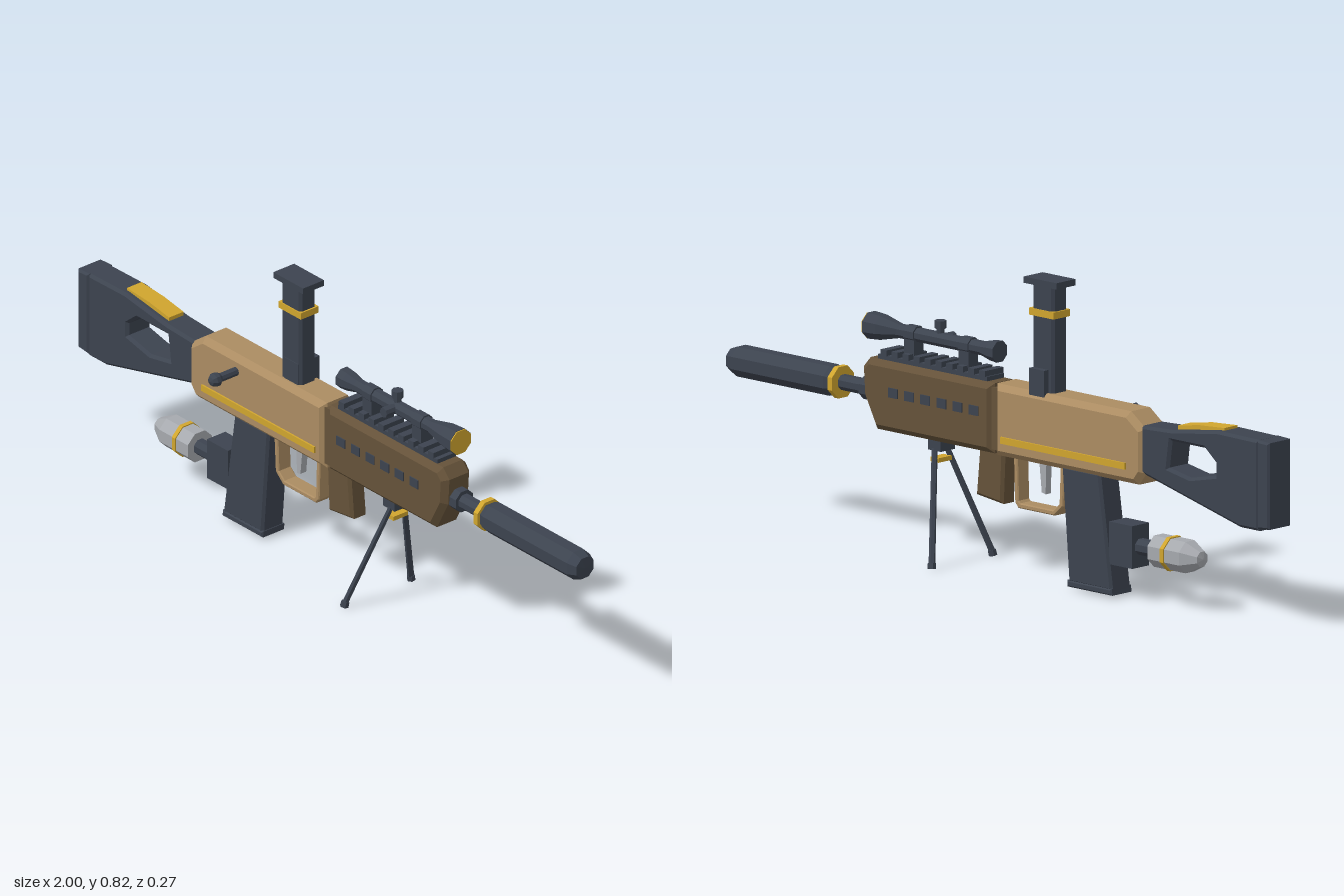
import * as THREE from 'three';

const mat = (name, color) => {
  const m = new THREE.MeshStandardMaterial({ color, flatShading: true });
  m.name = name;
  return m;
};

export function createModel() {
  const dark = mat('gunmetal', 0x3c434f);
  const tan = mat('tan', 0xab8c62);
  const brown = mat('brown', 0x655239);
  const gold = mat('gold', 0xd0a52e);
  const silver = mat('silver', 0xa6a9ae);

  const model = new THREE.Group();
  model.name = 'rifle';
  const body = new THREE.Group();
  body.name = 'body';
  body.position.z = -0.013; // the bolt handle offsets the centre line
  model.add(body);

  const add = (name, geo, m, x = 0, y = 0, z = 0) => {
    const mesh = new THREE.Mesh(geo, m);
    mesh.name = name;
    mesh.position.set(x, y, z);
    body.add(mesh);
    return mesh;
  };
  // Box given by its x, y and z ranges
  const box = (name, m, x0, x1, y0, y1, z0, z1) =>
    add(name, new THREE.BoxGeometry(x1 - x0, y1 - y0, z1 - z0), m, (x0 + x1) / 2, (y0 + y1) / 2, (z0 + z1) / 2);
  // Side profile extruded across z, with bevelled edges and optional hole
  const v = (pts) => pts.map(([x, y]) => new THREE.Vector2(x, y));
  const slab = (name, m, pts, half, bevel = 0, hole = null) => {
    const shape = new THREE.Shape(v(pts));
    if (hole) shape.holes.push(new THREE.Path(v(hole)));
    const depth = 2 * (half - bevel);
    const geo = new THREE.ExtrudeGeometry(shape, {
      depth, bevelEnabled: bevel > 0, bevelThickness: bevel, bevelSize: bevel, bevelOffset: -bevel, bevelSegments: 1,
    });
    geo.translate(0, 0, -depth / 2);
    return add(name, geo, m);
  };
  // Octagonal part turned around the x axis; profile is [x, radius]
  const turned = (name, m, pts, y, z = 0) => {
    const k = 1 / Math.cos(Math.PI / 8);
    const geo = new THREE.LatheGeometry(pts.map(([x, r]) => new THREE.Vector2(r * k, x)), 8, Math.PI / 8);
    geo.rotateZ(-Math.PI / 2);
    return add(name, geo, m, 0, y, z);
  };
  // Straight rod between two points
  const rod = (name, m, a, b, r0, r1 = r0, sides = 8) => {
    const p = new THREE.Vector3(...a), q = new THREE.Vector3(...b);
    const d = q.clone().sub(p);
    const mesh = add(name, new THREE.CylinderGeometry(r1, r0, d.length(), sides), m);
    mesh.position.copy(p).add(q).multiplyScalar(0.5);
    mesh.quaternion.setFromUnitVectors(new THREE.Vector3(0, 1, 0), d.normalize());
    return mesh;
  };

  // Stock with thumbhole, butt pad and cheek strip
  slab('stock', dark,
    [[-0.96, 0.265], [-0.89, 0.265], [-0.53, 0.355], [-0.53, 0.483], [-0.64, 0.488], [-0.81, 0.512], [-0.96, 0.51]],
    0.042, 0.008,
    [[-0.8, 0.39], [-0.8, 0.425], [-0.76, 0.458], [-0.64, 0.458], [-0.63, 0.385], [-0.71, 0.37]]);
  slab('buttPad', dark, [[-1, 0.275], [-0.955, 0.27], [-0.955, 0.51], [-1, 0.508]], 0.044, 0.006);
  slab('cheekStrip', gold, [[-0.82, 0.505], [-0.65, 0.485], [-0.65, 0.5], [-0.73, 0.513], [-0.82, 0.519]], 0.025);

  // Receiver
  slab('receiver', tan,
    [[-0.52, 0.322], [0, 0.322], [0, 0.515], [-0.49, 0.515], [-0.545, 0.475], [-0.545, 0.355]], 0.051, 0.016);
  // Handguard
  slab('handguard', brown,
    [[0.01, 0.324], [0.44, 0.324], [0.485, 0.41], [0.49, 0.485], [0.465, 0.513], [0.01, 0.513]], 0.049, 0.016);
  box('bodyJoint', brown, -0.01, 0.02, 0.335, 0.503, -0.04, 0.04);
  for (const s of [-1, 1]) {
    box('receiverStripe', gold, -0.485, -0.03, 0.36, 0.378, s * 0.053 - 0.003, s * 0.053 + 0.003);
    for (let i = 0; i < 6; i++) {
      const x = 0.055 + i * 0.059;
      box('vent', dark, x, x + 0.034, 0.42, 0.446, s * 0.049 - 0.003, s * 0.049 + 0.003);
    }
  }

  // Bolt handle
  rod('boltRod', dark, [-0.35, 0.472, 0.04], [-0.35, 0.472, 0.115], 0.012);
  const knob = add('boltKnob', new THREE.SphereGeometry(0.02, 8, 5), dark, -0.35, 0.472, 0.122);
  knob.rotation.x = Math.PI / 2;

  // Magazine in two sections with a base plate
  slab('magazine', dark, [[-0.42, 0.02], [-0.26, 0.02], [-0.235, 0.33], [-0.375, 0.33]], 0.038, 0.007);
  slab('magazineBase', dark, [[-0.422, 0.008], [-0.258, 0.008], [-0.257, 0.026], [-0.419, 0.026]], 0.04, 0.004);

  // Side block holding the banded canister
  box('canisterBlock', dark, -0.49, -0.405, 0.09, 0.205, -0.032, 0.032);
  turned('canisterNeck', dark, [[-0.56, 0], [-0.56, 0.021], [-0.485, 0.021]], 0.146);
  turned('canister', silver, [[-0.72, 0], [-0.715, 0.02], [-0.67, 0.042], [-0.555, 0.042], [-0.555, 0]], 0.146);
  turned('canisterBand', gold, [[-0.616, 0.03], [-0.616, 0.045], [-0.603, 0.045], [-0.603, 0.03]], 0.146);

  // Trigger, guard and forward grip
  slab('triggerGuard', tan,
    [[-0.232, 0.33], [-0.226, 0.215], [-0.195, 0.186], [-0.062, 0.186], [-0.05, 0.2], [-0.045, 0.33]], 0.022, 0.003,
    [[-0.216, 0.318], [-0.212, 0.22], [-0.19, 0.2], [-0.07, 0.2], [-0.064, 0.206], [-0.06, 0.318]]);
  slab('trigger', silver, [[-0.152, 0.235], [-0.138, 0.238], [-0.128, 0.33], [-0.155, 0.33]], 0.01);
  slab('foreGrip', brown, [[-0.008, 0.188], [0.09, 0.2], [0.077, 0.335], [-0.015, 0.335]], 0.027, 0.008);

  // Bipod
  box('bipodMount', dark, 0.215, 0.262, 0.295, 0.326, -0.027, 0.027);
  box('bipodBand', gold, 0.225, 0.255, 0.264, 0.276, -0.025, 0.025);
  for (const s of [-1, 1]) {
    rod('bipodLeg', dark, [0.242, 0.3, s * 0.022], [0.162, 0.01, s * 0.115], 0.008, 0.009, 6);
    rod('bipodFoot', dark, [0.162, 0.003, s * 0.116], [0.164, 0.018, s * 0.113], 0.012, 0.011, 6);
  }

  // Barrel and suppressor
  const axis = 0.42;
  turned('barrel', dark, [[0.47, 0.02], [0.62, 0.02]], axis);
  turned('barrelCollar', dark, [[0.48, 0], [0.48, 0.03], [0.512, 0.03], [0.512, 0]], axis);
  turned('suppressorRing', gold, [[0.598, 0], [0.598, 0.042], [0.614, 0.042], [0.614, 0]], axis);
  turned('suppressor', dark,
    [[0.612, 0], [0.612, 0.033], [0.632, 0.04], [0.97, 0.04], [0.998, 0.03], [1, 0]], axis);

  // Rail with teeth
  box('rail', dark, 0.04, 0.44, 0.508, 0.525, -0.032, 0.032);
  for (let i = 0; i < 10; i++) {
    const x = 0.045 + i * 0.04;
    box('railTooth', dark, x, x + 0.022, 0.524, 0.54, -0.035, 0.035);
  }
  // Scope
  turned('scope', dark,
    [[0.025, 0], [0.025, 0.028], [0.05, 0.026], [0.085, 0.018], [0.385, 0.018], [0.45, 0.032], [0.495, 0.035], [0.495, 0]], 0.59);
  turned('scopeLens', gold, [[0.494, 0.034], [0.498, 0.034], [0.498, 0]], 0.59);
  for (const x of [0.14, 0.34]) {
    box('scopeMount', dark, x - 0.018, x + 0.018, 0.535, 0.585, -0.018, 0.018);
    turned('scopeRing', dark, [[x - 0.018, 0.01], [x - 0.018, 0.022], [x + 0.018, 0.022], [x + 0.018, 0.01]], 0.59);
  }
  rod('topTurretStem', dark, [0.242, 0.6, 0], [0.242, 0.625, 0], 0.01);
  rod('topTurret', dark, [0.242, 0.62, 0], [0.242, 0.641, 0], 0.016);
  rod('sideTurret', dark, [0.242, 0.59, 0.01], [0.242, 0.59, 0.049], 0.014);

  // Upright top column
  box('columnBase', dark, -0.18, -0.125, 0.505, 0.577, -0.045, 0.03);
  box('columnFoot', dark, -0.198, -0.116, 0.505, 0.58, -0.022, 0.022).scale.x = 0.7;
  const column = new THREE.Shape(v([
    [-0.04, -0.02], [-0.032, -0.028], [0.032, -0.028], [0.04, -0.02],
    [0.04, 0.02], [0.032, 0.028], [-0.032, 0.028], [-0.04, 0.02]]));
  const columnGeo = new THREE.ExtrudeGeometry(column, { depth: 0.295, bevelEnabled: false });
  columnGeo.rotateX(-Math.PI / 2);
  add('column', columnGeo, dark, -0.157, 0.51, 0);
  box('columnBand', gold, -0.202, -0.112, 0.716, 0.735, -0.031, 0.031);
  box('columnCap', dark, -0.217, -0.097, 0.8, 0.817, -0.036, 0.036);

  return model;
}
